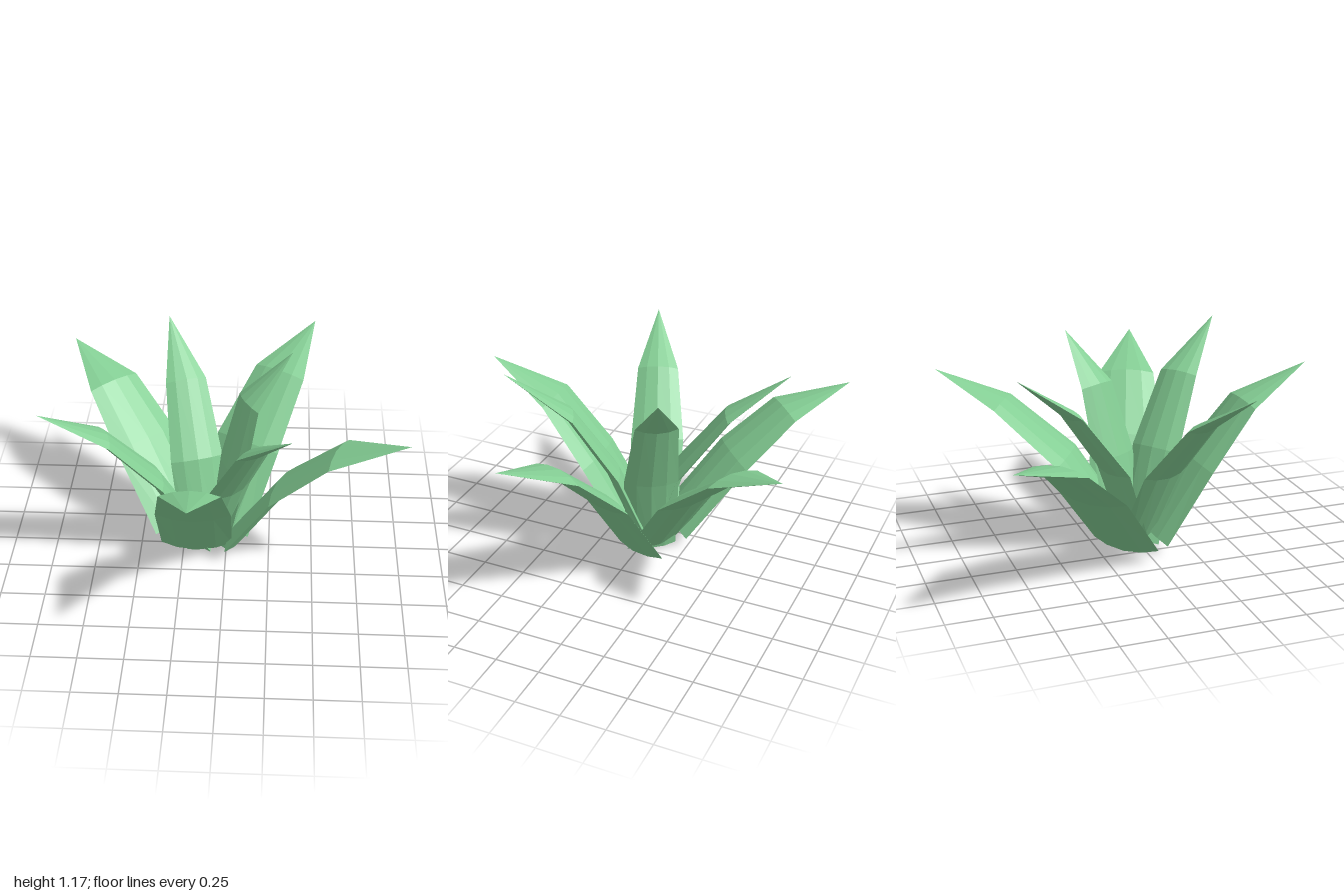
import * as THREE from 'three';

const leafGreen = new THREE.MeshStandardMaterial({ color: 0x84ce94, flatShading: true });
leafGreen.name = 'leaf green';

// Each spine runs base, lower bend, upper bend, tip.
const OUTER = [
  [[-0.26, 0.08, -0.12], [-0.5, 0.48, -0.39], [-0.705, 0.73, -0.62], [-0.97, 0.85, -0.93]],
  [[-0.05, 0.08, -0.09], [0.11, 0.5, -0.35], [0.29, 0.8, -0.665], [0.5, 0.97, -1]],
  [[0.07, 0.085, -0.02], [0.32, 0.5, 0.08], [0.62, 0.8, 0.19], [0.99, 0.97, 0.34]],
  [[-0.17, 0.08, 0.08], [-0.17, 0.48, 0.34], [-0.165, 0.81, 0.61], [-0.15, 1, 1]],
];
const INNER = [
  [[-0.12, 0.035, -0.02], [-0.18, 0.5, -0.17], [-0.255, 0.87, -0.435], [-0.37, 1.12, -0.75]],
  [[-0.06, 0.03, -0.05], [0.03, 0.5, -0.09], [0.12, 0.9, -0.16], [0.36, 1.17, -0.27]],
  [[-0.11, 0.03, 0], [0.015, 0.52, 0.155], [0.165, 0.91, 0.35], [0.36, 1.18, 0.64]],
  [[-0.14, 0.04, -0.02], [-0.4, 0.53, 0.06], [-0.66, 0.86, 0.17], [-0.99, 1.09, 0.31]],
];
// Lens-shaped section: fraction of half width, fraction of depth
const SECTION = [[1, 0], [0.55, 0.7], [0, 1], [-0.55, 0.7], [-1, 0], [-0.55, -0.7], [0, -1], [0.55, -0.7]];

// Fleshy blade: the lens section swept along the spine, closing to a point.
function leafGeometry(spine, widths, depths) {
  const pts = spine.map((p) => new THREE.Vector3(...p));
  const dir = pts[3].clone().sub(pts[0]);
  const side = new THREE.Vector3(-dir.z, 0, dir.x).normalize();
  const positions = [];
  for (let i = 0; i < 3; i++) {
    const tangent = pts[i + 1].clone().sub(pts[Math.max(i - 1, 0)]).normalize();
    const outward = tangent.cross(side).normalize();
    for (const [s, d] of SECTION) {
      const p = pts[i].clone()
        .addScaledVector(side, s * widths[i] / 2)
        .addScaledVector(outward, d * depths[i]);
      positions.push(p.x, p.y, p.z);
    }
  }
  positions.push(...spine[3]);
  const n = SECTION.length, tip = 3 * n, index = [];
  for (let j = 0; j < n; j++) {
    const k = (j + 1) % n;
    for (let i = 0; i < 2 * n; i += n) {
      index.push(i + j, i + k, i + n + j, i + k, i + n + k, i + n + j);
    }
    index.push(2 * n + j, 2 * n + k, tip);
    if (j > 0 && k > 0) index.push(0, k, j); // base cap
  }
  const indexed = new THREE.BufferGeometry();
  indexed.setAttribute('position', new THREE.Float32BufferAttribute(positions, 3));
  indexed.setIndex(index);
  const geo = indexed.toNonIndexed();
  geo.computeVertexNormals();
  return geo;
}

export function createModel() {
  const plant = new THREE.Group();
  plant.name = 'plant';
  const addRing = (name, spines, widths, depths) => {
    const ring = new THREE.Group();
    ring.name = name + 's';
    spines.forEach((spine, i) => {
      const leaf = new THREE.Mesh(leafGeometry(spine, widths, depths), leafGreen);
      leaf.name = name + (i + 1);
      ring.add(leaf);
    });
    plant.add(ring);
  };
  // Broad spreading leaves, then narrower upright ones inside
  addRing('outerLeaf', OUTER, [0.41, 0.42, 0.33], [0.045, 0.04, 0.03]);
  addRing('innerLeaf', INNER, [0.29, 0.31, 0.24], [0.045, 0.04, 0.03]);
  return plant;
}
